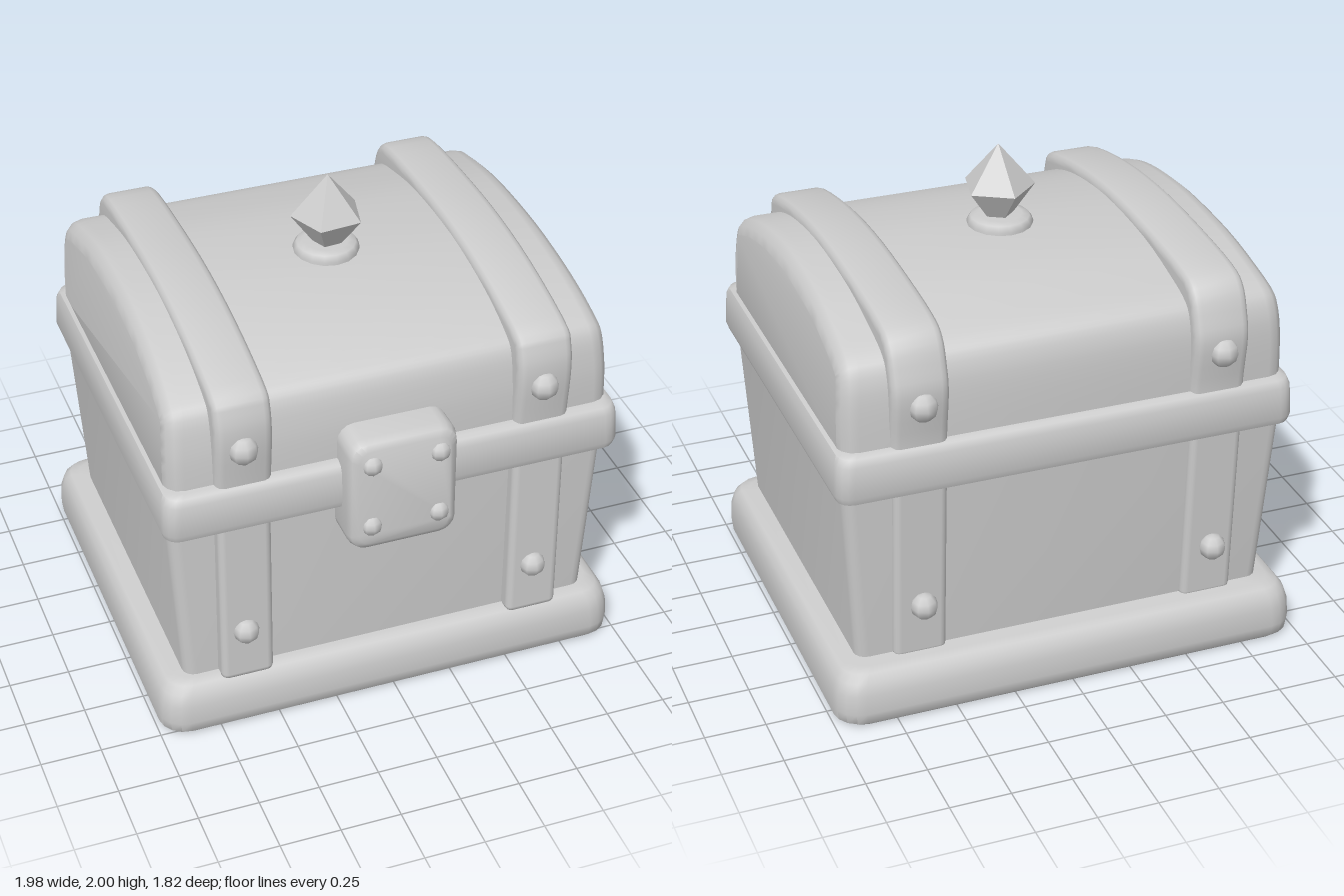
import * as THREE from 'three';
import { toCreasedNormals } from 'three/addons/utils/BufferGeometryUtils.js';
import { RoundedBoxGeometry } from 'three/addons/geometries/RoundedBoxGeometry.js';

const CREASE = 0.8;

// Solid through rounded rectangles, each given as [y, halfWidth, zBack, zFront, cornerRadius]
function loft(sections, steps = 4) {
  const pos = [], index = [], n = 4 * (steps + 1);
  for (const [y, hx, z0, z1, r] of sections) {
    const corners = [[hx - r, z1 - r], [r - hx, z1 - r], [r - hx, z0 + r], [hx - r, z0 + r]];
    corners.forEach(([cx, cz], q) => {
      for (let i = 0; i <= steps; i++) {
        const a = (q + i / steps) * Math.PI / 2;
        pos.push(cx + r * Math.cos(a), y, cz + r * Math.sin(a));
      }
    });
  }
  for (let s = 0; s < sections.length - 1; s++) {
    for (let i = 0; i < n; i++) {
      const a = s * n + i, b = s * n + (i + 1) % n;
      index.push(a, a + n, b, b, a + n, b + n);
    }
  }
  const top = (sections.length - 1) * n;
  for (let i = 1; i < n - 1; i++) {
    index.push(0, i, i + 1, top, top + i + 1, top + i);
  }
  const g = new THREE.BufferGeometry();
  g.setAttribute('position', new THREE.Float32BufferAttribute(pos, 3));
  g.setIndex(index);
  return toCreasedNormals(g, CREASE);
}

// Arched side profile of [z, y] points, extruded across x with rounded ends
function arch(points, width, bevel) {
  const curve = new THREE.SplineCurve(points.map(([z, y]) => new THREE.Vector2(z, y)));
  const g = new THREE.ExtrudeGeometry(new THREE.Shape(curve.getPoints(44)), {
    depth: width - 2 * bevel, steps: 1, bevelEnabled: true, bevelSegments: 3,
    bevelSize: bevel, bevelThickness: bevel, bevelOffset: -bevel,
  });
  g.translate(0, 0, bevel - width / 2);
  g.rotateY(-Math.PI / 2);
  return g;
}

export function createModel() {
  const group = new THREE.Group();
  const grey = new THREE.MeshStandardMaterial({ color: 0xcccccc });
  grey.name = 'plain grey';
  const add = (name, geometry, x = 0, y = 0, z = 0) => {
    const m = new THREE.Mesh(geometry, grey);
    m.name = name;
    m.position.set(x, y, z);
    group.add(m);
    return m;
  };

  // Plinth, tapered box and rim band
  add('base', loft([
    [0, 0.965, -0.89, 0.77, 0.10], [0.015, 0.985, -0.905, 0.785, 0.11],
    [0.06, 0.99, -0.91, 0.79, 0.11], [0.14, 0.985, -0.905, 0.785, 0.11],
    [0.19, 0.97, -0.89, 0.77, 0.10], [0.22, 0.945, -0.865, 0.745, 0.09],
    [0.23, 0.91, -0.83, 0.71, 0.08],
  ]));
  add('body', loft([[0.2, 0.87, -0.765, 0.695, 0.05], [1.05, 0.925, -0.81, 0.705, 0.05]]));
  add('rimBand', loft([
    [0.98, 0.92, -0.825, 0.755, 0.05], [0.99, 0.945, -0.85, 0.78, 0.06],
    [1.02, 0.955, -0.86, 0.79, 0.065], [1.15, 0.947, -0.855, 0.785, 0.065],
    [1.18, 0.935, -0.84, 0.77, 0.06], [1.19, 0.91, -0.815, 0.745, 0.05],
  ]));

  // Domed lid, narrowing in x towards its top
  const lid = arch([
    [0.73, 1.1], [0.727, 1.25], [0.717, 1.37], [0.69, 1.49], [0.63, 1.54], [0.46, 1.6],
    [0.25, 1.64], [0, 1.66], [-0.34, 1.645], [-0.6, 1.595], [-0.74, 1.55], [-0.79, 1.48],
    [-0.808, 1.35], [-0.81, 1.1],
  ], 1.84, 0.07);
  const p = lid.attributes.position;
  for (let i = 0; i < p.count; i++) {
    const t = THREE.MathUtils.clamp((p.getY(i) - 1.25) / 0.4, 0, 1);
    p.setX(i, p.getX(i) * (1 - 0.04 * t * t));
  }
  add('lid', toCreasedNormals(lid, CREASE));

  // Straps over the lid and down the front and back, with rivets
  const lidStrap = toCreasedNormals(arch([
    [0.755, 1.12], [0.765, 1.22], [0.782, 1.4], [0.765, 1.52], [0.7, 1.59], [0.35, 1.665],
    [0, 1.695], [-0.35, 1.688], [-0.68, 1.66], [-0.79, 1.61], [-0.84, 1.5], [-0.858, 1.4],
    [-0.835, 1.22], [-0.83, 1.12],
  ], 0.232, 0.035), CREASE);
  const bodyStrap = new RoundedBoxGeometry(0.22, 0.82, 0.12, 2, 0.03);
  const rivet = (r, name, x, y, z) => add(name, new THREE.SphereGeometry(r, 8, 6), x, y, z);
  for (const [side, x] of [['left', 0.615], ['right', -0.623]]) {
    add(side + 'LidStrap', lidStrap, x);
    add(side + 'FrontStrap', bodyStrap, x, 0.62, 0.70);
    add(side + 'BackStrap', bodyStrap, x, 0.62, -0.757).rotation.x = -0.05;
    const rx = x - 0.007;
    rivet(0.062, side + 'FrontLidRivet', rx, 1.36, 0.77);
    rivet(0.062, side + 'BackLidRivet', rx, 1.36, -0.842);
    rivet(0.056, side + 'FrontBodyRivet', rx, 0.455, 0.755);
    rivet(0.056, side + 'BackBodyRivet', rx, 0.455, -0.822);
  }

  // Lock plate with four rivets
  const lock = loft([
    [0.65, 0.226, -1.335, -0.82, 0.07], [0.83, 0.226, -1.335, -0.82, 0.07],
    [0.865, 0.216, -1.325, -0.83, 0.065], [0.88, 0.19, -1.3, -0.855, 0.05],
  ]);
  lock.rotateX(Math.PI / 2);
  add('lockPlate', lock, -0.01);
  for (const x of [-0.145, 0.135]) {
    for (const y of [0.94, 1.23]) rivet(0.045, 'lockRivet', x, y, 0.866);
  }

  // Collar and faceted gem on top
  const collar = new THREE.LatheGeometry([[0.13, 1.62], [0.135, 1.67], [0.12, 1.692], [0.09, 1.7], [0, 1.7]]
    .map(([r, y]) => new THREE.Vector2(r, y)), 16);
  add('gemCollar', collar, -0.01, 0, -0.02);
  const gem = new THREE.LatheGeometry([[0.04, 1.67], [0.15, 1.82], [0, 2]]
    .map(([r, y]) => new THREE.Vector2(r, y)), 5).toNonIndexed();
  gem.computeVertexNormals();
  add('gem', gem, -0.005, 0, -0.015).rotation.y = 0.73;

  return group;
}
